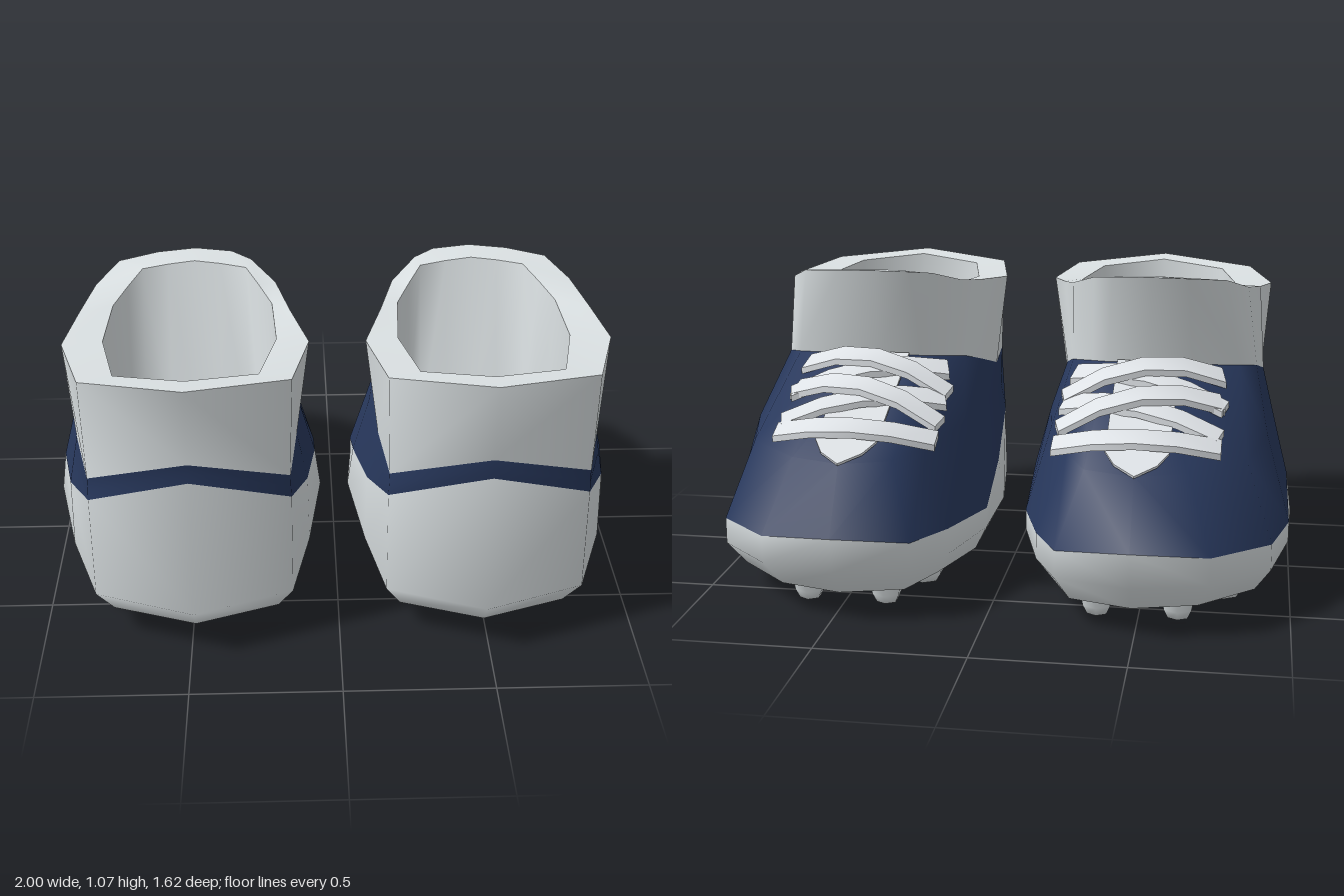
import * as THREE from 'three';

const material = (name, color) => {
  const m = new THREE.MeshStandardMaterial({ color });
  m.name = name;
  return m;
};

// Sideways bulge towards the outer side of the foot, toe to heel
const BULGE = [0, 0.002, 0.055, 0.045, 0.04, 0.022, 0.002, 0];

// Half rings run toe to heel as [half width, y, z]; mirrored into closed loops of 14 points
function fullRing(half, bulge) {
  const outer = half.map(([w, y, z], i) => [w + BULGE[i] * bulge, y, z]);
  const inner = half.map(([w, y, z], i) => [-w + BULGE[i] * bulge, y, z]).slice(1, -1).reverse();
  return [...outer, ...inner];
}

// Smooth skin through a list of half rings, each with its own share of the bulge
function loft(halves, bulges) {
  const rings = halves.map((h, i) => fullRing(h, bulges[i]));
  const n = rings[0].length;
  const index = [];
  for (let r = 0; r < rings.length - 1; r++) {
    for (let i = 0; i < n; i++) {
      const j = (i + 1) % n;
      const a = r * n, b = a + n;
      index.push(a + i, b + i, a + j, a + j, b + i, b + j);
    }
  }
  const g = new THREE.BufferGeometry();
  g.setAttribute('position', new THREE.Float32BufferAttribute(rings.flat(2), 3));
  g.setIndex(index);
  g.computeVertexNormals();
  return g;
}

// A ring shrunk to one point, to close a surface
const collapse = (half, y, z) => half.map(() => [0, y, z]);

// Cross-sections from the ground up
const soleEdge = [[0, 0.08, -0.71], [0.21, 0.08, -0.65], [0.34, 0.08, -0.47], [0.415, 0.08, -0.2],
  [0.42, 0.125, 0.05], [0.375, 0.125, 0.36], [0.28, 0.08, 0.63], [0, 0.08, 0.73]];
const widest = [[0, 0.18, -0.8], [0.25, 0.18, -0.735], [0.39, 0.17, -0.53], [0.46, 0.17, -0.22],
  [0.475, 0.2, 0.04], [0.41, 0.2, 0.41], [0.33, 0.18, 0.69], [0, 0.175, 0.81]];
const colourLine = [[0, 0.3, -0.815], [0.25, 0.275, -0.74], [0.39, 0.26, -0.53], [0.46, 0.24, -0.22],
  [0.455, 0.345, 0.04], [0.405, 0.45, 0.41], [0.33, 0.55, 0.685], [0, 0.665, 0.78]];
const vamp = [[0, 0.515, -0.68], [0.17, 0.515, -0.62], [0.3, 0.52, -0.45], [0.375, 0.54, -0.18],
  [0.4, 0.555, 0.06], [0.388, 0.54, 0.41], [0.328, 0.59, 0.687], [0, 0.7, 0.777]];
const collarBase = [[0, 0.755, -0.075], [0.15, 0.75, -0.055], [0.26, 0.74, 0], [0.33, 0.725, 0.08],
  [0.36, 0.69, 0.2], [0.37, 0.63, 0.41], [0.327, 0.635, 0.69], [0, 0.73, 0.775]];
const rimOuter = [[0, 1.07, -0.15], [0.13, 1.065, -0.13], [0.23, 1.055, -0.08], [0.31, 1.015, 0.03],
  [0.355, 0.99, 0.2], [0.405, 0.97, 0.4], [0.335, 0.985, 0.69], [0, 1.01, 0.81]];
const rimInner = [[0, 1.06, -0.06], [0.09, 1.055, -0.045], [0.18, 1.045, -0.03], [0.225, 1.02, 0.06],
  [0.27, 0.99, 0.15], [0.285, 0.97, 0.38], [0.23, 0.98, 0.64], [0, 1, 0.72]];
const insole = [[0, 0.5, 0.15], [0.09, 0.5, 0.15], [0.18, 0.5, 0.15], [0.225, 0.5, 0.15],
  [0.265, 0.5, 0.16], [0.285, 0.5, 0.38], [0.23, 0.5, 0.62], [0, 0.5, 0.69]];

// Flat strap bent over the instep, from (x0, z0) to (x1, z1)
function laceGeometry(x0, z0, x1, z1, lift, bow) {
  const g = new THREE.BoxGeometry(1, 0.022, 0.075, 4, 1, 1);
  const p = g.attributes.position;
  const length = Math.hypot(x1 - x0, z1 - z0);
  const sx = -(z1 - z0) / length, sz = (x1 - x0) / length;
  for (let i = 0; i < p.count; i++) {
    const t = p.getX(i), w = p.getZ(i);
    const arch = 1 - 4 * t * t;
    const x = x0 + (x1 - x0) * (t + 0.5) + sx * w;
    const z = z0 + (z1 - z0) * (t + 0.5) + sz * w - bow * arch;
    p.setXYZ(i, x, 0.81 + 0.393 * z - 0.8 * x * x + lift * arch + p.getY(i), z);
  }
  g.computeVertexNormals();
  return g;
}

function createShoe(mats) {
  const shoe = new THREE.Group();
  const add = (name, geometry, mat) => {
    const mesh = new THREE.Mesh(geometry, mat);
    mesh.name = name;
    shoe.add(mesh);
    return mesh;
  };

  // Sole, upper, collar and lining
  add('soleBottom', loft([collapse(soleEdge, 0.105, 0.05), soleEdge], [0, 1]), mats.grey);
  add('soleWall', loft([soleEdge, widest, colourLine], [1, 1, 1]), mats.grey);
  add('upper', loft([colourLine, vamp, collarBase], [1, 1, 1]), mats.blue);
  add('collar', loft([collarBase, rimOuter], [1, 0.6]), mats.grey);
  add('collarRim', loft([rimOuter, rimInner], [0.6, 0]), mats.grey);
  add('lining', loft([rimInner, insole], [0, 0]), mats.grey);
  add('insole', loft([insole, collapse(insole, 0.5, 0.4)], [0, 0]), mats.grey);

  // Tongue lying along the instep
  const outline = new THREE.Shape([[-0.11, 0], [0.11, 0], [0.105, 0.53], [0.07, 0.6], [0, 0.66],
    [-0.07, 0.6], [-0.105, 0.53]].map(([x, y]) => new THREE.Vector2(x, y)));
  const tongue = new THREE.ExtrudeGeometry(outline, { depth: 0.009, bevelEnabled: false });
  tongue.rotateX(-Math.PI / 2 - 0.378);
  tongue.translate(0, 0.755, -0.075);
  add('tongue', tongue, mats.lace);

  // Criss-cross laces: x0, z0, x1, z1, lift, bow
  [
    [0.27, -0.485, -0.29, -0.485, 0.01, 0.065],
    [0.265, -0.43, -0.28, -0.27, 0, 0.02],
    [-0.285, -0.4, 0.265, -0.25, 0.025, 0.02],
    [0.275, -0.27, -0.26, -0.11, 0, 0.015],
    [-0.285, -0.23, 0.265, -0.1, 0.025, 0.015],
  ].forEach(([x0, z0, x1, z1, lift, bow]) => {
    add('lace', x0 < x1 ? laceGeometry(x0, z0, x1, z1, lift, bow) : laceGeometry(x1, z1, x0, z0, lift, bow), mats.lace);
  });

  // Cleats in four pairs: z, half spacing, sideways shift, radius
  [[0.46, 0.215, 0.025, 0.13], [0.05, 0.27, 0.035, 0.13], [-0.32, 0.25, 0.04, 0.1], [-0.55, 0.135, 0.01, 0.075]]
    .forEach(([z, spacing, shift, r]) => {
      const profile = [[0, 0], [r * 0.5, 0], [r * 0.7, 0.03], [r, 0.13]]
        .map(([x, y]) => new THREE.Vector2(x, y));
      for (const side of [-1, 1]) {
        add('cleat', new THREE.LatheGeometry(profile, 6), mats.grey)
          .position.set(side * spacing + shift, 0, z);
      }
    });
  return shoe;
}

export function createModel() {
  const mats = {
    grey: material('light grey', 0xdbe1e3),
    blue: material('navy blue', 0x27375b),
    lace: material('pale lace grey', 0xdde1e5),
  };
  const model = new THREE.Group();
  model.name = 'cleatedShoes';
  for (const side of [1, -1]) {
    const shoe = createShoe(mats);
    shoe.name = side > 0 ? 'leftShoe' : 'rightShoe';
    shoe.position.x = side * 0.485;
    shoe.scale.x = side;
    model.add(shoe);
  }
  return model;
}
